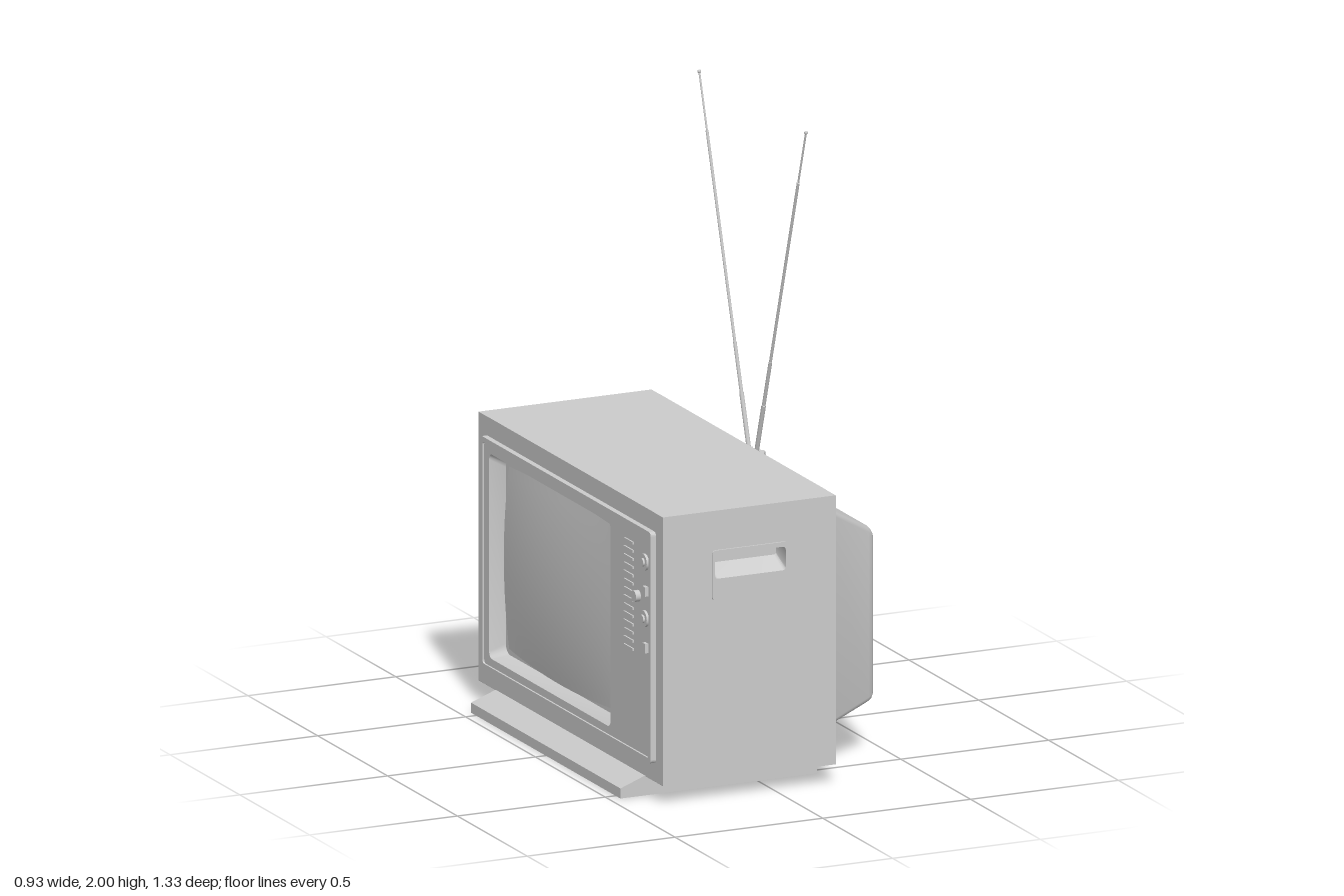
import * as THREE from 'three';
import { toCreasedNormals } from 'three/addons/utils/BufferGeometryUtils.js';

const grey = new THREE.MeshStandardMaterial({ color: 0xcccccc });

function add(parent, name, geometry, x = 0, y = 0, z = 0) {
  const mesh = new THREE.Mesh(geometry, grey);
  mesh.name = name;
  mesh.position.set(x, y, z);
  parent.add(mesh);
  return mesh;
}

function group(parent, name, x = 0, turn = 0) {
  const g = new THREE.Group();
  g.name = name;
  g.position.x = x;
  g.rotation.y = turn;
  parent.add(g);
  return g;
}

// Rounded rectangle as a counterclockwise ring of points
function ring(x0, x1, y0, y1, r) {
  const points = [];
  const corners = [[x1 - r, y1 - r], [x0 + r, y1 - r], [x0 + r, y0 + r], [x1 - r, y0 + r]];
  corners.forEach(([cx, cy], c) => {
    for (let i = 0; i <= 4; i++) {
      const a = (c + i / 4) * Math.PI / 2;
      points.push(new THREE.Vector2(cx + r * Math.cos(a), cy + r * Math.sin(a)));
    }
  });
  return points;
}

// Skin over sections [x0, x1, y0, y1, radius, z], closed at the last one
function loft(sections, capped = true) {
  const pos = [], index = [], n = 20;
  for (const [x0, x1, y0, y1, r, z] of sections) {
    for (const p of ring(x0, x1, y0, y1, r)) pos.push(p.x, p.y, z);
  }
  for (let k = 0; k < sections.length - 1; k++) {
    for (let i = 0; i < n; i++) {
      const a = k * n + i, b = k * n + (i + 1) % n;
      index.push(a, b, b + n, a, b + n, a + n);
    }
  }
  if (capped) {
    const [x0, x1, y0, y1, , z] = sections.at(-1);
    const start = (sections.length - 1) * n;
    pos.push((x0 + x1) / 2, (y0 + y1) / 2, z);
    for (let i = 0; i < n; i++) index.push(start + n, start + i, start + (i + 1) % n);
  }
  const g = new THREE.BufferGeometry();
  g.setAttribute('position', new THREE.Float32BufferAttribute(pos, 3));
  g.setIndex(index);
  return toCreasedNormals(g, 0.6);
}

// Flat plate with one opening
function plate(outer, hole, depth) {
  const shape = new THREE.Shape(outer);
  if (hole) shape.holes.push(new THREE.Path(hole));
  return new THREE.ExtrudeGeometry(shape, { depth, bevelEnabled: false });
}

// Cylinder pointing along z
const knob = (r, length, sides = 20) => new THREE.CylinderGeometry(r, r, length, sides).rotateX(Math.PI / 2);

function addCabinet(tv) {
  const cabinet = group(tv, 'cabinet', -0.0875);
  add(cabinet, 'cabinetTop', new THREE.BoxGeometry(0.585, 0.07, 1.2), 0, 0.88, 0);
  add(cabinet, 'cabinetBottom', new THREE.BoxGeometry(0.585, 0.07, 1.2), 0, 0.095, 0);
  const opening = ring(-0.12, 0.12, 0.7, 0.775, 0.01);
  for (const turn of [0, Math.PI]) {
    const side = group(cabinet, 'cabinetSide', 0, turn);
    add(side, 'sideWall', plate(ring(-0.2925, 0.2925, 0.06, 0.915, 0.001), opening, 0.06), 0, 0, 0.6);
    add(side, 'handlePlate', plate(ring(-0.1275, 0.1275, 0.63, 0.79, 0.012), opening, 0.006), 0, 0, 0.66);
    add(side, 'handleRecess', loft([
      [-0.12, 0.12, 0.7, 0.775, 0.01, 0.666],
      [-0.115, 0.115, 0.735, 0.775, 0.008, 0.605],
    ]));
  }

  // Plinth with a sloping front lip
  const profile = [[-0.465, 0], [0.2, 0], [0.2, 0.062], [-0.385, 0.062], [-0.465, 0.032]];
  add(tv, 'plinth', plate(profile.map(([x, y]) => new THREE.Vector2(x, y)), null, 1.07), 0, 0, -0.535);
}

function addScreenSide(tv) {
  const front = group(tv, 'screenSide', 0, -Math.PI / 2);
  const opening = ring(-0.56, 0.31, 0.16, 0.81, 0.02);
  add(front, 'bezel', plate(ring(-0.61, 0.61, 0.12, 0.855, 0.012), opening, 0.035), 0, 0, 0.357);
  add(front, 'bezelRim', plate(ring(-0.61, 0.61, 0.12, 0.855, 0.012),
    ring(-0.595, 0.595, 0.135, 0.84, 0.01), 0.006), 0, 0, 0.392);
  add(front, 'screenSurround', loft([
    [-0.56, 0.31, 0.16, 0.81, 0.02, 0.392],
    [-0.54, 0.28, 0.175, 0.795, 0.03, 0.345],
  ]));

  // Bulging glass with bowed edges
  const w = 0.4, h = 0.305;
  const glass = new THREE.PlaneGeometry(2, 2, 24, 20);
  const p = glass.attributes.position;
  for (let i = 0; i < p.count; i++) {
    const u = p.getX(i), v = p.getY(i);
    p.setXYZ(i, u * w * (1 - 0.05 * v * v), v * h * (1 - 0.05 * u * u),
      0.348 + 0.036 * (1 - u * u * 0.6) * (1 - v * v * 0.6) - 0.006);
  }
  glass.computeVertexNormals();
  add(front, 'screenGlass', glass, -0.13, 0.485, 0);

  // Speaker slots and controls
  for (let i = 0; i < 14; i++) {
    add(front, 'speakerSlat', new THREE.BoxGeometry(0.065, 0.008, 0.008), 0.445, 0.45 + i * 0.026, 0.393);
  }
  for (const y of [0.75, 0.57]) {
    add(front, 'dialPlate', knob(0.026, 0.01, 24), 0.56, y, 0.395);
    add(front, 'dialKnob', knob(0.013, 0.014), 0.56, y, 0.399);
  }
  add(front, 'tuningKnob', knob(0.018, 0.022), 0.51, 0.63, 0.398);
  for (const y of [0.66, 0.48]) {
    add(front, 'button', new THREE.BoxGeometry(0.02, 0.03, 0.012), 0.57, y, 0.397);
  }
}

function addBack(tv) {
  const back = group(tv, 'backSide', 0, Math.PI / 2);
  add(back, 'backPanel', plate(ring(-0.635, 0.635, 0.09, 0.885, 0.004), null, 0.025), 0, 0, 0.19);
  add(back, 'tubeHousing', loft([
    [-0.54, 0.54, 0.105, 0.872, 0.012, 0.213],
    [-0.525, 0.525, 0.118, 0.85, 0.012, 0.222],
    [-0.512, 0.512, 0.13, 0.834, 0.014, 0.24],
    [-0.43, 0.43, 0.17, 0.73, 0.018, 0.425],
    [-0.424, 0.424, 0.174, 0.718, 0.02, 0.438],
    [-0.413, 0.413, 0.18, 0.708, 0.02, 0.447],
    [-0.4, 0.4, 0.19, 0.695, 0.02, 0.451],
  ]));
  for (const [x, y] of [[-0.195, 0.6], [-0.155, 0.6], [-0.175, 0.53]]) {
    add(back, 'socket', knob(0.008, 0.03, 12), x, y, 0.45);
  }

  // Antenna mount and two telescopic rods
  const antenna = group(tv, 'antenna', 0.235);
  add(antenna, 'antennaBracket', new THREE.BoxGeometry(0.03, 0.05, 0.13), -0.008, 0.825, 0);
  add(antenna, 'antennaMount', new THREE.CylinderGeometry(0.042, 0.055, 0.075, 6).rotateY(Math.PI / 2), 0, 0.843, 0);
  for (const s of [-1, 1]) {
    const at = (y) => new THREE.Vector3(0, y, s * (0.025 + (y - 0.88) * 0.321));
    const stages = [[0.85, 1.05, 0.0075], [1.05, 1.2, 0.006], [1.2, 1.82, 0.0048], [1.82, 1.99, 0.0032]];
    for (const [y0, y1, r] of stages) {
      add(antenna, 'antennaRod', new THREE.TubeGeometry(new THREE.LineCurve3(at(y0), at(y1)), 1, r, 8));
    }
    add(antenna, 'antennaTip', new THREE.SphereGeometry(0.006, 10, 8)).position.copy(at(1.993));
    add(antenna, 'antennaPivot', new THREE.CylinderGeometry(0.012, 0.012, 0.03, 12), 0, 0.875, s * 0.024);
  }
}

export function createModel() {
  const tv = new THREE.Group();
  tv.name = 'television';
  addCabinet(tv);
  addScreenSide(tv);
  addBack(tv);
  return tv;
}
